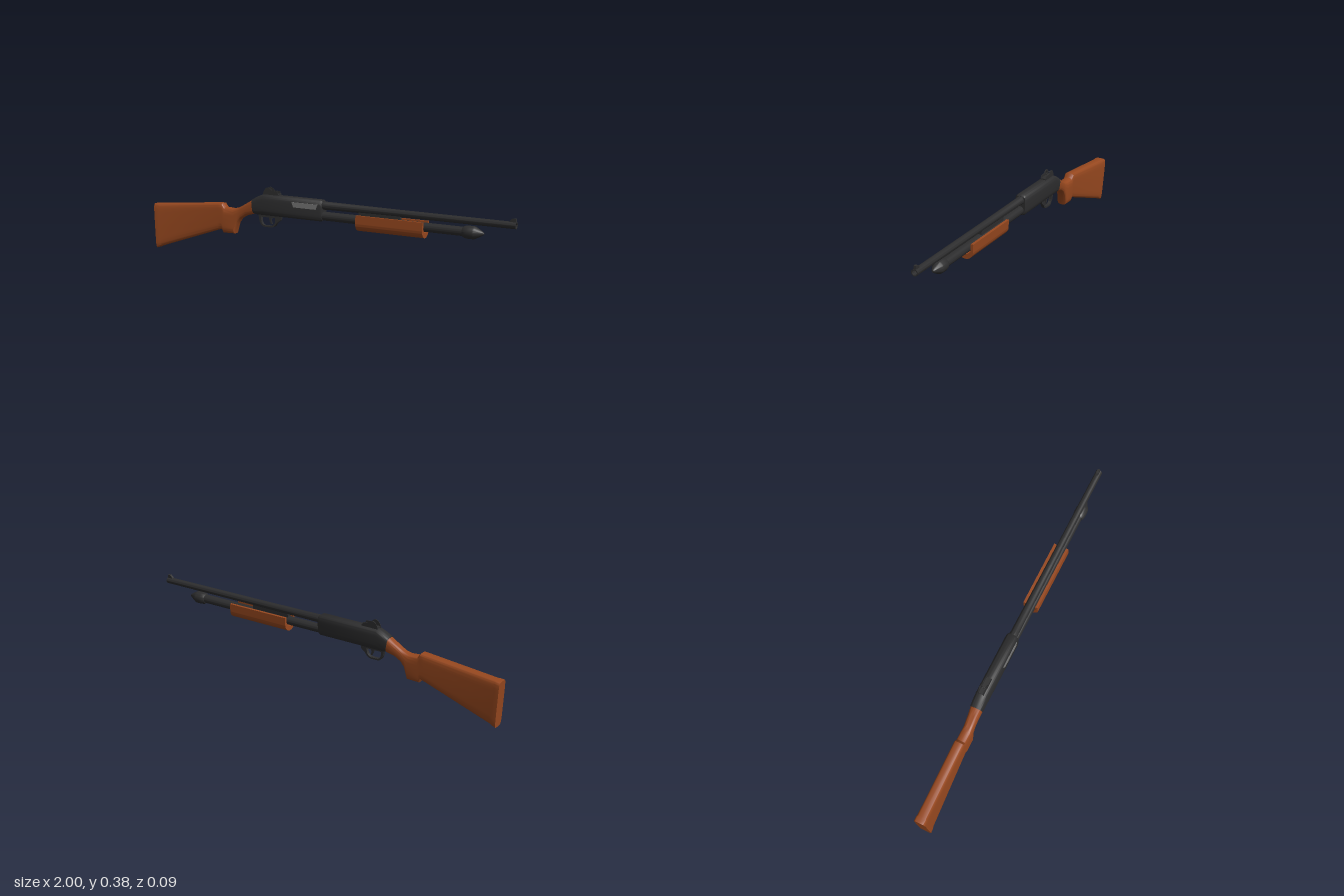
import * as THREE from 'three';
import { toCreasedNormals } from 'three/addons/utils/BufferGeometryUtils.js';

const wood = new THREE.MeshStandardMaterial({ color: 0x97481f });
wood.name = 'warm wood';
const steel = new THREE.MeshStandardMaterial({ color: 0x2d2d2e });
steel.name = 'blued steel';
const bright = new THREE.MeshStandardMaterial({ color: 0x757575 });
bright.name = 'bright steel';

function part(name, geometry, material) {
  const mesh = new THREE.Mesh(geometry, material);
  mesh.name = name;
  return mesh;
}

// Closed loft along x. Station: [x at top, x at bottom, top y, bottom y, half width, squareness]
function loft(stations, sides = 36) {
  const pos = [], index = [];
  for (const [xt, xb, top, bottom, hw, n] of stations) {
    for (let j = 0; j < sides; j++) {
      const a = (j / sides) * Math.PI * 2;
      const bend = (v) => Math.sign(v) * Math.pow(Math.abs(v), 2 / n);
      const t = (bend(Math.sin(a)) + 1) / 2;
      pos.push(xb + (xt - xb) * t, bottom + (top - bottom) * t, bend(Math.cos(a)) * hw);
    }
  }
  const rows = stations.length;
  for (let i = 0; i < rows - 1; i++) {
    for (let j = 0; j < sides; j++) {
      const k = (j + 1) % sides;
      const a = i * sides + j, b = a + sides, c = i * sides + k, d = c + sides;
      index.push(a, b, c, b, d, c);
    }
  }
  // End caps
  for (const row of [0, rows - 1]) {
    const [xt, xb, top, bottom] = stations[row];
    const centre = pos.length / 3;
    pos.push((xt + xb) / 2, (top + bottom) / 2, 0);
    for (let j = 0; j < sides; j++) {
      const a = row * sides + j, b = row * sides + (j + 1) % sides;
      if (row === 0) index.push(centre, a, b);
      else index.push(centre, b, a);
    }
  }
  const g = new THREE.BufferGeometry();
  g.setAttribute('position', new THREE.Float32BufferAttribute(pos, 3));
  g.setIndex(index);
  return toCreasedNormals(g, 0.6);
}

// Round part along x from [x, radius] pairs
function turned(profile, y, sides = 32) {
  const g = new THREE.LatheGeometry(profile.map(([x, r]) => new THREE.Vector2(r, x)), sides);
  g.rotateZ(-Math.PI / 2);
  g.translate(0, y, 0);
  return toCreasedNormals(g, 0.5);
}

// Side-profile plate of given thickness, centred on z
function plate(shape, depth, z = 0) {
  const g = new THREE.ExtrudeGeometry(shape, { depth, bevelEnabled: false, curveSegments: 12 });
  g.translate(0, 0, z - depth / 2);
  return toCreasedNormals(g, 0.6);
}

function polygon(points) {
  return new THREE.Shape(points.map(([x, y]) => new THREE.Vector2(x, y)));
}

function box(x0, x1, y0, y1, width) {
  const g = new THREE.BoxGeometry(x1 - x0, y1 - y0, width);
  g.translate((x0 + x1) / 2, (y0 + y1) / 2, 0);
  return g;
}

export function createModel() {
  const model = new THREE.Group();
  model.name = 'pumpActionLongGun';

  // Shoulder stock with hand grip
  model.add(part('stock', loft([
    [-0.998, -0.98, 0.24, 0.004, 0.031, 7],
    [-0.975, -0.957, 0.243, 0.014, 0.031, 7],
    [-0.965, -0.947, 0.243, 0.018, 0.029, 6],
    [-0.6, -0.6, 0.279, 0.139, 0.028, 5],
    [-0.578, -0.578, 0.28, 0.146, 0.028, 5],
    [-0.562, -0.568, 0.26, 0.126, 0.028, 4],
    [-0.513, -0.503, 0.257, 0.128, 0.028, 4],
    [-0.485, -0.489, 0.264, 0.18, 0.026, 3],
    [-0.465, -0.468, 0.274, 0.209, 0.026, 3],
    [-0.435, -0.435, 0.292, 0.229, 0.027, 3],
    [-0.39, -0.385, 0.319, 0.242, 0.03, 3.2],
  ]), wood));

  // Receiver with sloping tail
  model.add(part('receiver', loft([
    [-0.4, -0.388, 0.316, 0.243, 0.031, 3.4],
    [-0.37, -0.37, 0.333, 0.24, 0.032, 3.5],
    [-0.335, -0.335, 0.348, 0.24, 0.032, 3.5],
    [-0.006, -0.006, 0.348, 0.24, 0.032, 3.5],
    [0.004, 0.004, 0.342, 0.246, 0.028, 3.5],
  ]), steel));

  // Port on the left side only
  model.add(part('ejectionPort', plate(polygon([
    [-0.163, 0.325], [-0.152, 0.299], [-0.026, 0.299], [-0.016, 0.325],
  ]), 0.005, 0.0308), bright));

  // Barrel with hollow muzzle
  model.add(part('barrel', turned([
    [-0.01, 0], [-0.01, 0.021], [0.02, 0.021], [0.024, 0.02], [0.42, 0.0175],
    [1, 0.0165], [1, 0.0125], [0.95, 0.0125], [0.95, 0],
  ], 0.32), steel));
  model.add(part('frontSight', plate(polygon([
    [0.965, 0.33], [0.972, 0.345], [0.982, 0.352], [0.997, 0.352], [0.999, 0.33],
  ]), 0.012), steel));

  // Tube magazine and pointed cap
  model.add(part('magazineTube', turned([
    [-0.01, 0], [-0.01, 0.022], [0.76, 0.022], [0.76, 0],
  ], 0.267), steel));
  model.add(part('magazineCap', turned([
    [0.742, 0], [0.742, 0.024], [0.752, 0.029], [0.768, 0.031], [0.795, 0.031],
    [0.803, 0.029], [0.838, 0.01], [0.845, 0.005], [0.845, 0],
  ], 0.266), steel));
  model.add(part('actionBar', box(0.2, 0.42, 0.283, 0.309, 0.022), steel));

  // U-shaped sliding fore-end
  const u = new THREE.Shape();
  u.moveTo(-0.039, 0.293);
  u.lineTo(-0.039, 0.253);
  u.absarc(0, 0.253, 0.039, Math.PI, Math.PI * 2, false);
  u.lineTo(0.039, 0.293);
  u.lineTo(0.026, 0.293);
  u.lineTo(0.026, 0.265);
  u.absarc(0, 0.265, 0.026, 0, Math.PI, true);
  u.lineTo(-0.026, 0.293);
  const slide = new THREE.ExtrudeGeometry(u, { depth: 0.353, bevelEnabled: false, curveSegments: 20 });
  slide.rotateY(Math.PI / 2);
  slide.translate(0.197, 0, 0);
  model.add(part('foreEnd', toCreasedNormals(slide, 0.5), wood));

  // Trigger guard and trigger
  const guard = new THREE.Shape();
  guard.moveTo(-0.368, 0.245);
  guard.lineTo(-0.362, 0.215);
  guard.quadraticCurveTo(-0.352, 0.18, -0.325, 0.18);
  guard.lineTo(-0.29, 0.18);
  guard.quadraticCurveTo(-0.268, 0.184, -0.258, 0.207);
  guard.lineTo(-0.238, 0.221);
  guard.lineTo(-0.232, 0.245);
  const opening = new THREE.Path();
  opening.moveTo(-0.35, 0.23);
  opening.lineTo(-0.268, 0.23);
  opening.lineTo(-0.27, 0.207);
  opening.quadraticCurveTo(-0.278, 0.189, -0.293, 0.188);
  opening.lineTo(-0.325, 0.188);
  opening.quadraticCurveTo(-0.347, 0.189, -0.35, 0.215);
  guard.holes.push(opening);
  model.add(part('triggerGuard', plate(guard, 0.016), steel));
  model.add(part('trigger', plate(polygon([
    [-0.308, 0.235], [-0.304, 0.212], [-0.294, 0.197], [-0.288, 0.198],
    [-0.293, 0.215], [-0.29, 0.235],
  ]), 0.007), steel));

  // Rear sight: base, two protective wings and an aperture ring
  const sight = new THREE.Group();
  sight.name = 'rearSight';
  sight.add(part('sightBase', box(-0.335, -0.247, 0.34, 0.354, 0.028), steel));
  for (const side of [-1, 1]) {
    sight.add(part('sightWing', plate(polygon([
      [-0.339, 0.345], [-0.335, 0.363], [-0.323, 0.379], [-0.31, 0.384], [-0.298, 0.379],
      [-0.286, 0.368], [-0.256, 0.366], [-0.246, 0.345],
    ]), 0.003, side * 0.0135), steel));
  }
  const ring = new THREE.TorusGeometry(0.0112, 0.0013, 8, 24);
  ring.rotateY(Math.PI / 2);
  ring.translate(-0.305, 0.365, 0);
  sight.add(part('apertureRing', ring, steel));
  model.add(sight);

  // The whole gun leans and turns very slightly
  model.rotation.set(-0.055, 0.003, 0);
  model.position.z = 0.011;
  const root = new THREE.Group();
  root.name = 'longGun';
  root.add(model);
  return root;
}
